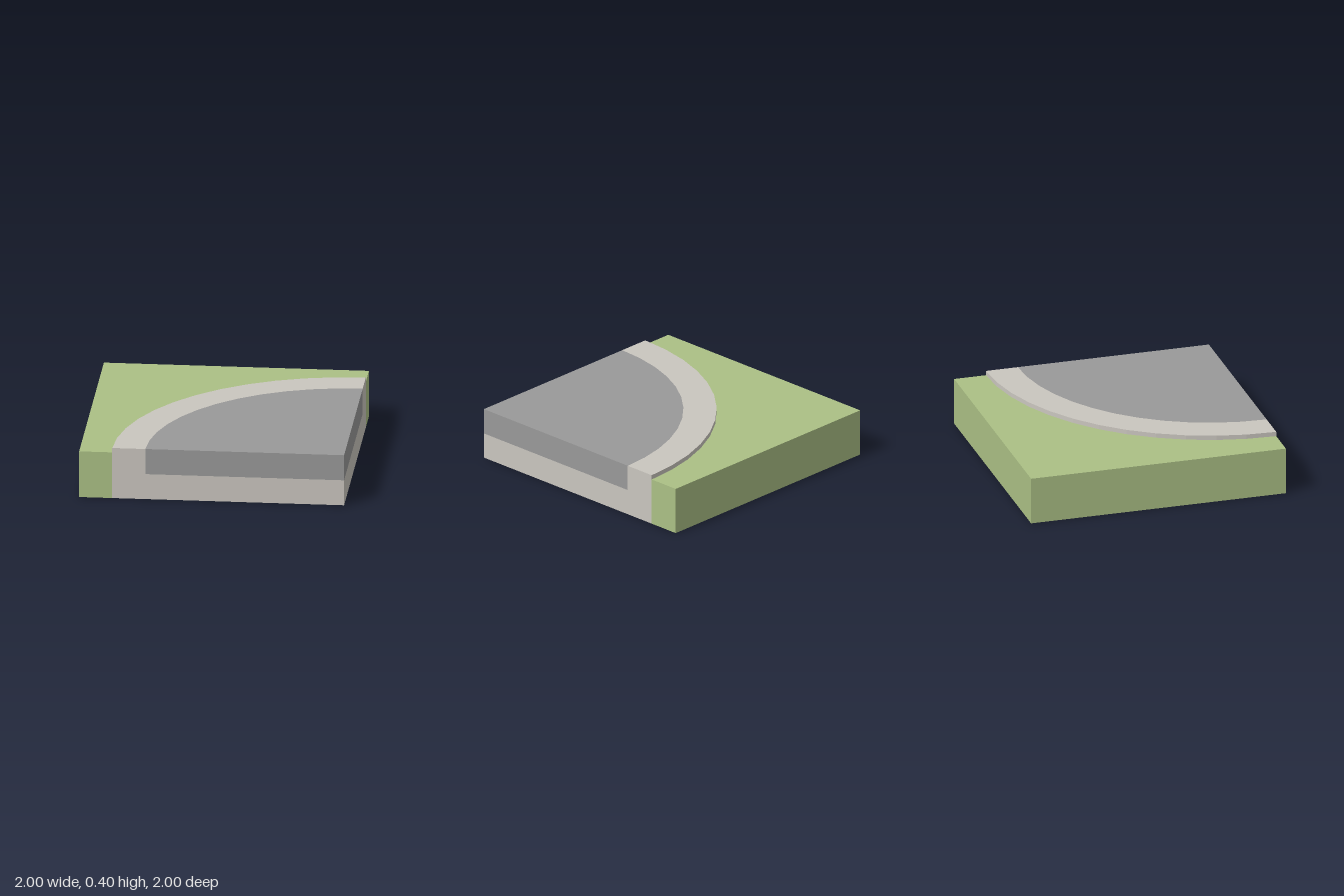
import * as THREE from 'three';

const GRASS_TOP = 0.365, TOP = 0.4, ROAD_BOTTOM = 0.2;
const OUTER = 1.75, INNER = 1.5, SEGMENTS = 12;

function material(name, color) {
  const m = new THREE.MeshStandardMaterial({ color });
  m.name = name;
  return m;
}

// Quarter-circle points about the corner (1, 1), in plan; shape y is -z
function arc(radius) {
  return Array.from({ length: SEGMENTS + 1 }, (_, i) => {
    const a = Math.PI / 2 * (1 + i / SEGMENTS);
    return new THREE.Vector2(1 + radius * Math.cos(a), -1 + radius * Math.sin(a));
  });
}

// Upright prism over a plan outline
function prism(name, points, y0, y1, mat) {
  const geometry = new THREE.ExtrudeGeometry(new THREE.Shape(points), { depth: y1 - y0, bevelEnabled: false });
  geometry.rotateX(-Math.PI / 2).translate(0, y0, 0);
  const mesh = new THREE.Mesh(geometry, mat);
  mesh.name = name;
  return mesh;
}

export function createModel() {
  const grass = material('grass green', 0xabc085);
  const stone = material('pale stone', 0xcac6bf);
  const asphalt = material('asphalt grey', 0x999999);
  const corner = new THREE.Vector2(1, -1);
  const group = new THREE.Group();
  group.name = 'curvedRoadTile';

  // Grass outside the curve
  group.add(prism('grassBank', [
    ...arc(OUTER), new THREE.Vector2(-1, -1), new THREE.Vector2(-1, 1), new THREE.Vector2(1, 1),
  ], 0.001, GRASS_TOP, grass));

  // Stone foundation with a raised kerb
  group.add(prism('foundation', [corner, ...arc(OUTER)], 0.001, ROAD_BOTTOM, stone));
  group.add(prism('kerb', [...arc(OUTER), ...arc(INNER).reverse()], ROAD_BOTTOM, TOP, stone));

  // Road surface inside the kerb
  group.add(prism('road', [corner, ...arc(INNER)], ROAD_BOTTOM, TOP, asphalt));

  // Underside of the whole tile
  const underside = new THREE.Mesh(new THREE.PlaneGeometry(2, 2).rotateX(Math.PI / 2), grass);
  underside.name = 'underside';
  group.add(underside);

  return group;
}
